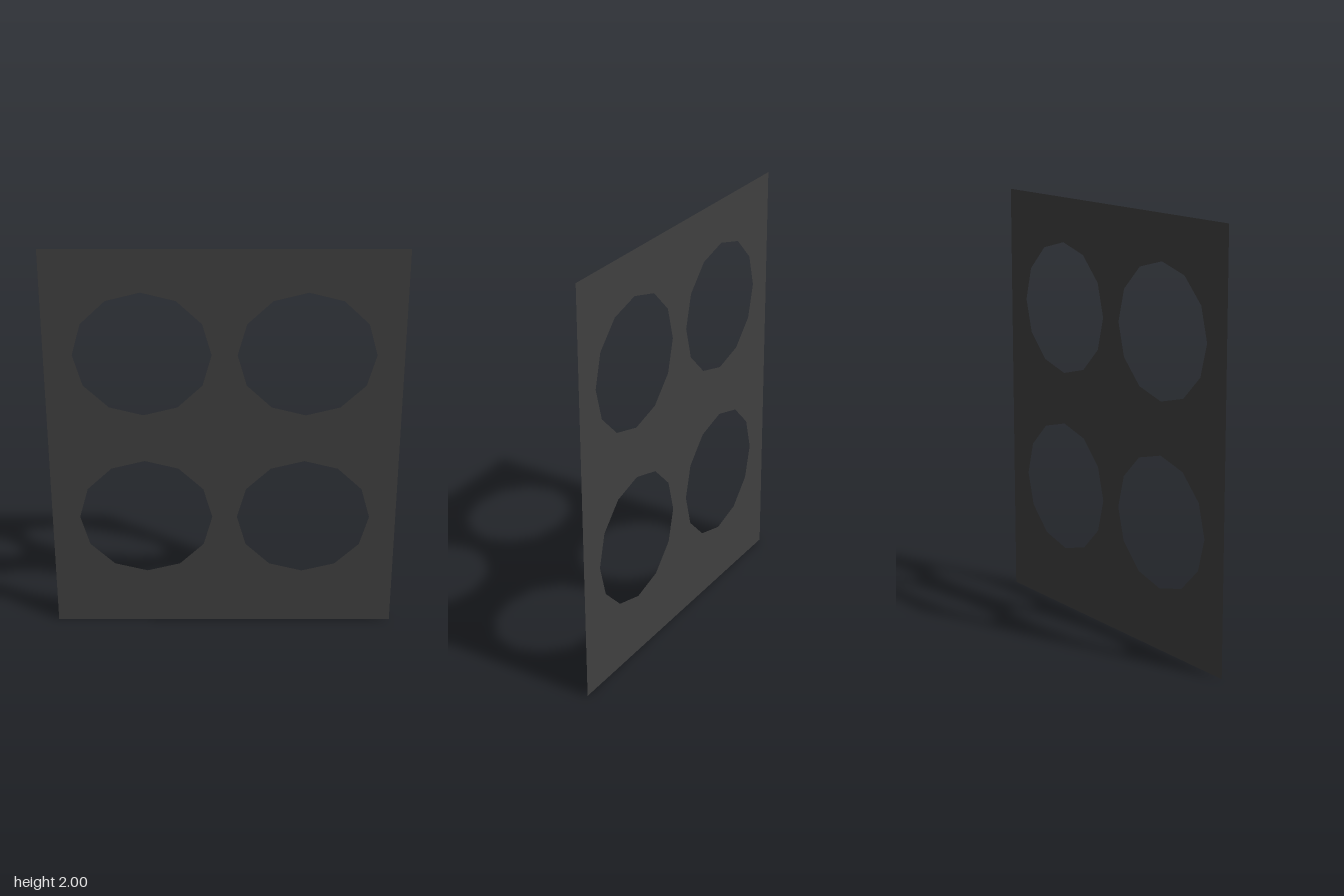
import * as THREE from 'three';

// Upright sheet standing diagonally, pierced by four twelve-sided holes.
const HALF_X = 0.516, HALF_Z = 0.623, HEIGHT = 2;
const HOLE_RADIUS = 0.312, HOLE_SIDES = 12;

function holePath(cx, cy) {
  const points = [];
  for (let i = 0; i < HOLE_SIDES; i++) {
    const a = -(i / HOLE_SIDES) * Math.PI * 2;
    points.push(new THREE.Vector2(cx + HOLE_RADIUS * Math.cos(a), cy + HOLE_RADIUS * Math.sin(a)));
  }
  return new THREE.Path(points);
}

export function createModel() {
  const group = new THREE.Group();
  group.name = 'piercedPanel';

  // Outline of the sheet
  const half = Math.hypot(HALF_X, HALF_Z);
  const outline = new THREE.Shape([
    new THREE.Vector2(-half, 0),
    new THREE.Vector2(half, 0),
    new THREE.Vector2(half, HEIGHT),
    new THREE.Vector2(-half, HEIGHT),
  ]);

  // Two by two grid of holes
  for (const cx of [-0.367, 0.373]) {
    for (const cy of [0.607, 1.478]) outline.holes.push(holePath(cx, cy));
  }

  const panel = new THREE.Mesh(
    new THREE.ShapeGeometry(outline),
    new THREE.MeshStandardMaterial({ color: 0x404040, side: THREE.DoubleSide })
  );
  panel.name = 'panel';
  panel.rotation.y = -Math.atan2(HALF_Z, HALF_X);
  group.add(panel);
  return group;
}
